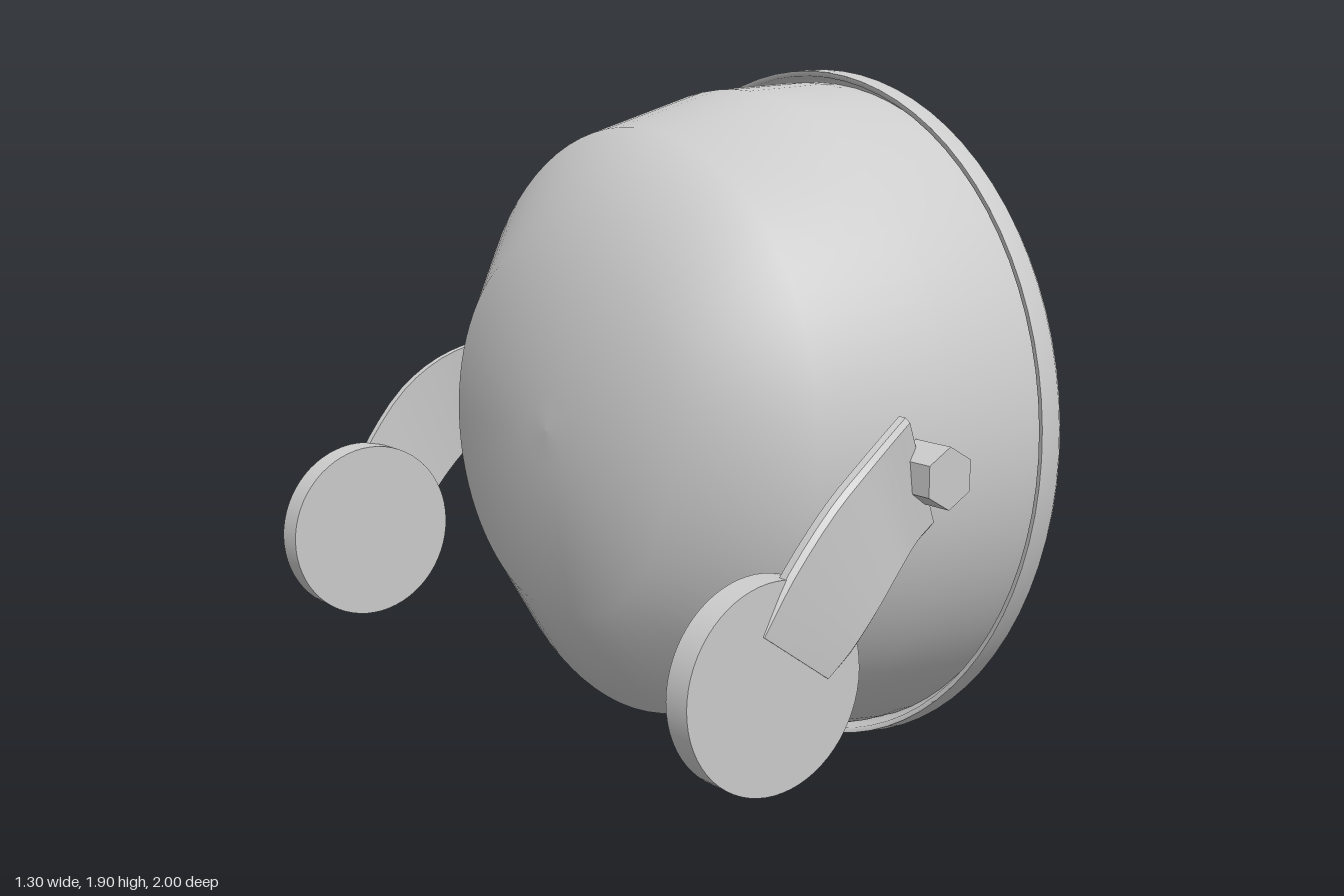
import * as THREE from 'three';
import { toCreasedNormals } from 'three/addons/utils/BufferGeometryUtils.js';

const grey = new THREE.MeshStandardMaterial({ color: 0xcccccc, side: THREE.DoubleSide });
grey.name = 'plain grey';

function part(name, geometry, parent) {
  const mesh = new THREE.Mesh(geometry, grey);
  mesh.name = name;
  parent.add(mesh);
  return mesh;
}

// Turned part from [radius, distance along axis] pairs
function turned(name, profile, parent) {
  const points = profile.map(([r, s]) => new THREE.Vector2(r, s));
  return part(name, new THREE.LatheGeometry(points, 80), parent);
}

// Curved strap: each station is [upper x, upper y, lower x, lower y, outer z]
function strapGeometry(side) {
  const stations = [
    [0.09, 1.095, 0.185, 0.815, 0.89],
    [0.0, 1.075, 0.08, 0.79, 0.94],
    [-0.12, 1.025, -0.01, 0.75, 0.985],
    [-0.24, 0.94, -0.10, 0.66, 1.0],
    [-0.36, 0.80, -0.17, 0.58, 0.995],
    [-0.44, 0.67, -0.23, 0.525, 0.986],
  ];
  const upper = new THREE.CatmullRomCurve3(stations.map((p) => new THREE.Vector3(p[0], p[1], p[4])));
  const lower = new THREE.CatmullRomCurve3(stations.map((p) => new THREE.Vector3(p[2], p[3], p[4])));
  const steps = 15, thickness = 0.035, bevel = 0.04;
  const positions = [], index = [];
  for (let i = 0; i <= steps; i++) {
    const a = upper.getPoint(i / steps), b = lower.getPoint(i / steps);
    // Section runs round the strap: [share of width, depth]
    const section = [[0, 0.012], [bevel, 0], [1 - bevel, 0], [1, 0.012], [1, thickness], [0, thickness]];
    for (const [t, depth] of section) {
      const p = a.clone().lerp(b, t);
      positions.push(p.x, p.y, side * (p.z - depth));
    }
  }
  const n = 6;
  const face = (a, b, c) => (side > 0 ? index.push(a, b, c) : index.push(a, c, b));
  for (let i = 0; i < steps; i++) {
    for (let j = 0; j < n; j++) {
      const a = i * n + j, b = i * n + ((j + 1) % n);
      face(a, a + n, b);
      face(b, a + n, b + n);
    }
  }
  for (let j = 1; j < n - 1; j++) {
    face(0, j, j + 1);
    face(steps * n, steps * n + j + 1, steps * n + j);
  }
  const geometry = new THREE.BufferGeometry();
  geometry.setAttribute('position', new THREE.Float32BufferAttribute(positions, 3));
  geometry.setIndex(index);
  return toCreasedNormals(geometry, 0.6);
}

export function createModel() {
  const model = new THREE.Group();
  model.name = 'headlamp';

  // Lamp turned about an axis along +x, nodding slightly down
  const lamp = new THREE.Group();
  lamp.name = 'lamp';
  lamp.rotation.z = -Math.PI / 2 - 0.029;
  lamp.position.y = 0.968;
  model.add(lamp);

  turned('bowl', [[0, -0.367], [0.1, -0.362], [0.5, -0.33], [0.788, -0.105], [0.89, 0.23], [0.912, 0.485], [0.912, 0.54]], lamp);
  turned('rimBack', [[0.905, 0.545], [0.925, 0.535], [0.93, 0.5], [0.944, 0.497]], lamp);
  turned('rimFront', [[0.944, 0.497], [0.949, 0.553], [0.935, 0.572], [0.88, 0.596], [0.81, 0.601]], lamp);
  turned('rimLip', [[0.81, 0.601], [0.808, 0.55]], lamp);
  turned('lens', [[0.808, 0.565], [0.64, 0.598], [0.45, 0.624], [0.22, 0.64], [0, 0.645]], lamp);

  // Mounting bracket on both sides
  for (const side of [1, -1]) {
    const bracket = new THREE.Group();
    bracket.name = side > 0 ? 'frontBracket' : 'backBracket';
    model.add(bracket);

    part('strap', strapGeometry(side), bracket);

    const pad = part('mountingDisc', new THREE.CylinderGeometry(0.255, 0.255, 0.077, 64), bracket);
    pad.rotation.x = Math.PI / 2;
    pad.position.set(-0.395, 0.535, side * 0.945);

    const bolt = part('bolt', new THREE.CylinderGeometry(0.078, 0.078, 0.12, 6).toNonIndexed(), bracket);
    bolt.geometry.computeVertexNormals();
    bolt.rotation.x = Math.PI / 2;
    bolt.position.set(0.138, 0.957, side * 0.925);
  }
  return model;
}
